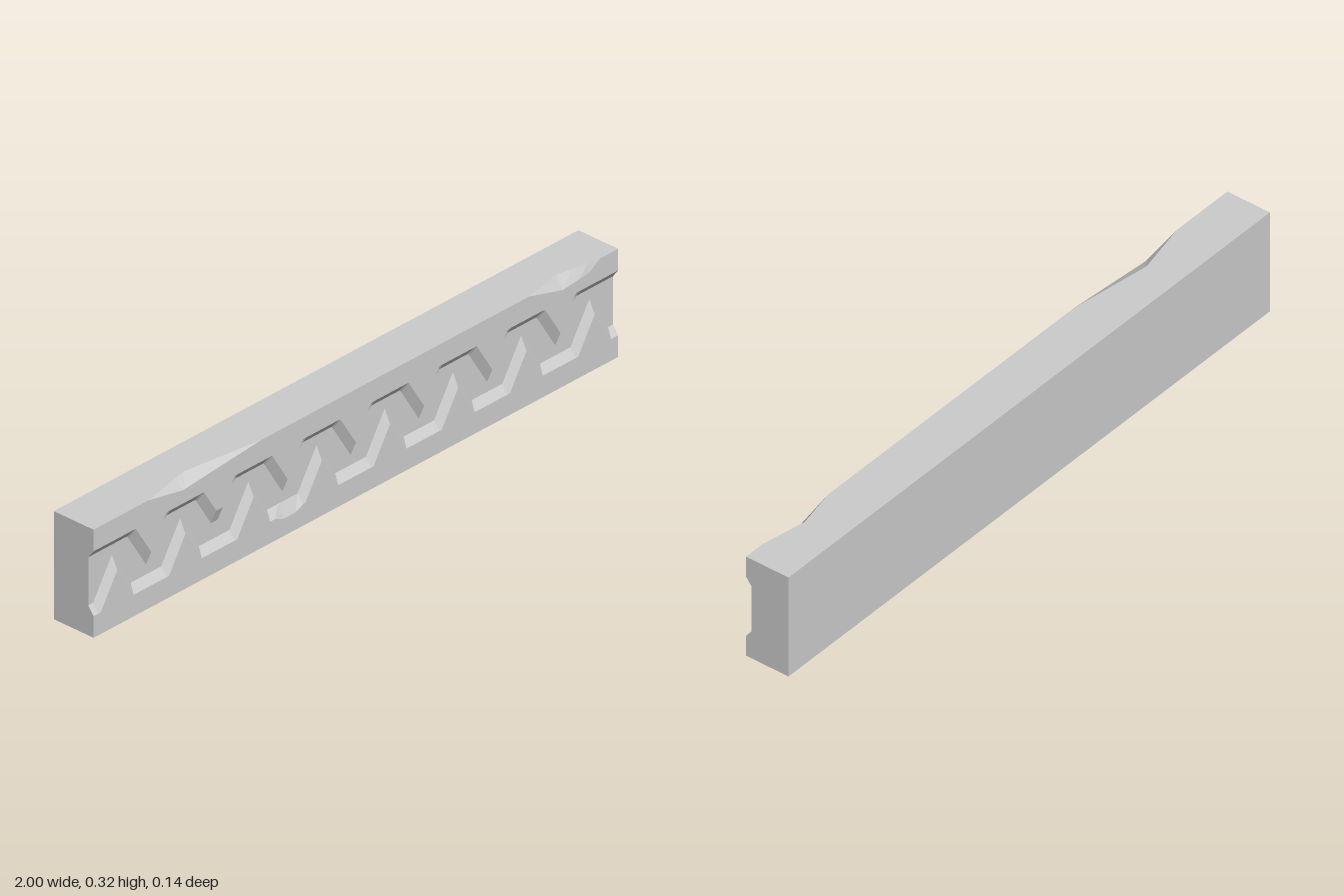
import * as THREE from 'three';

const H = 0.325, ZB = -0.071, ZF = 0.071, FLOOR = 0.052;
const PITCH = 0.26, SLOPE = 1.6;

// Linear interpolation through [x, value] keys, constant outside them
function track(keys, x) {
  if (x <= keys[0][0]) return keys[0][1];
  for (let i = 1; i < keys.length; i++) {
    const [x0, v0] = keys[i - 1], [x1, v1] = keys[i];
    if (x <= x1) return v0 + (v1 - v0) * (x - x0) / (x1 - x0);
  }
  return keys[keys.length - 1][1];
}

// Chips broken out of the top front edge (height on the face, depth on the top)
const chipHeight = [[-0.79, H], [-0.66, 0.3], [-0.36, H], [0.66, H], [0.79, 0.29], [0.89, 0.3], [0.93, H]];
const chipDepth = [[-0.79, ZF], [-0.62, 0.035], [-0.36, ZF], [0.66, ZF], [0.79, 0.045], [0.93, ZF]];
// Small chip below one recess of the groove
const lowerChip = [[-0.31, 0], [-0.275, 0.013], [-0.23, 0.013], [-0.2, 0]];

// Tooth centres: seven hang from above, eight rise from below
const upperTeeth = [-3, -2, -1, 0, 1, 2, 3].map(k => k * PITCH);
const lowerTeeth = [-4, -3, -2, -1, 0, 1, 2, 3].map(k => (k + 0.5) * PITCH);
const distance = (teeth, x) => Math.min(...teeth.map(t => Math.abs(x - t)));
const blunt = x => Math.abs(x + 2 * PITCH) < 0.07 ? 0.0125 : 0; // one worn tip

// Cross-section of the beam at x, as [z, y] points
function section(x) {
  const up = Math.max(distance(upperTeeth, x), blunt(x));
  const low = distance(lowerTeeth, x);
  return [
    [ZB, 0], [ZF, 0],
    [ZF, Math.max(0.065, 0.165 - SLOPE * low) - track(lowerChip, x)],
    [FLOOR, Math.max(0.09, 0.205 - SLOPE * low)],
    [FLOOR, Math.min(0.235, 0.12 + SLOPE * up)],
    [ZF, Math.min(0.26, 0.165 + SLOPE * up)],
    [ZF, track(chipHeight, x)],
    [track(chipDepth, x), H],
    [ZB, H],
  ];
}

// Every x where some edge changes direction
function stations() {
  const xs = [-1, 1, -2 * PITCH - 0.0125, -2 * PITCH + 0.0125];
  for (const keys of [chipHeight, chipDepth, lowerChip]) keys.forEach(k => xs.push(k[0]));
  for (const t of upperTeeth) xs.push(t, t - 0.0594, t + 0.0594, t - 0.0719, t + 0.0719);
  for (const t of lowerTeeth) xs.push(t, t - 0.0625, t + 0.0625, t - 0.0719, t + 0.0719);
  xs.sort((a, b) => a - b);
  return xs.filter((x, i) => Math.abs(x) <= 1 && (i === 0 || x - xs[i - 1] > 1e-5));
}

function beamGeometry() {
  const positions = [];
  const a = new THREE.Vector3(), b = new THREE.Vector3();
  const triangle = (p, q, r) => {
    a.subVectors(q, p);
    b.subVectors(r, p);
    if (a.cross(b).length() < 1e-9) return; // skip collapsed chip faces
    for (const v of [p, q, r]) positions.push(v.x, v.y, v.z);
  };
  const rings = stations().map(x => section(x).map(([z, y]) => new THREE.Vector3(x, y, z)));

  // Skin between neighbouring cross-sections
  for (let i = 0; i + 1 < rings.length; i++) {
    const r = rings[i], s = rings[i + 1], n = r.length;
    for (let j = 0; j < n; j++) {
      const k = (j + 1) % n;
      triangle(r[j], s[j], s[k]);
      triangle(r[j], s[k], r[k]);
    }
  }

  // End faces; the unchipped top corner is a doubled point, so drop one
  for (const [ring, flip] of [[rings[0], false], [rings[rings.length - 1], true]]) {
    const points = ring.filter((p, j) => j !== 6);
    const outline = points.map(p => new THREE.Vector2(p.z, p.y));
    for (const [i, j, k] of THREE.ShapeUtils.triangulateShape(outline, [])) {
      if (flip) triangle(points[i], points[k], points[j]);
      else triangle(points[i], points[j], points[k]);
    }
  }

  const geometry = new THREE.BufferGeometry();
  geometry.setAttribute('position', new THREE.Float32BufferAttribute(positions, 3));
  geometry.computeVertexNormals();
  return geometry;
}

export function createModel() {
  const group = new THREE.Group();
  group.name = 'carvedFrieze';
  const material = new THREE.MeshStandardMaterial({ color: 0xcccccc, flatShading: true });
  const beam = new THREE.Mesh(beamGeometry(), material);
  beam.name = 'zigzagCarvedBeam';
  group.add(beam);
  return group;
}
